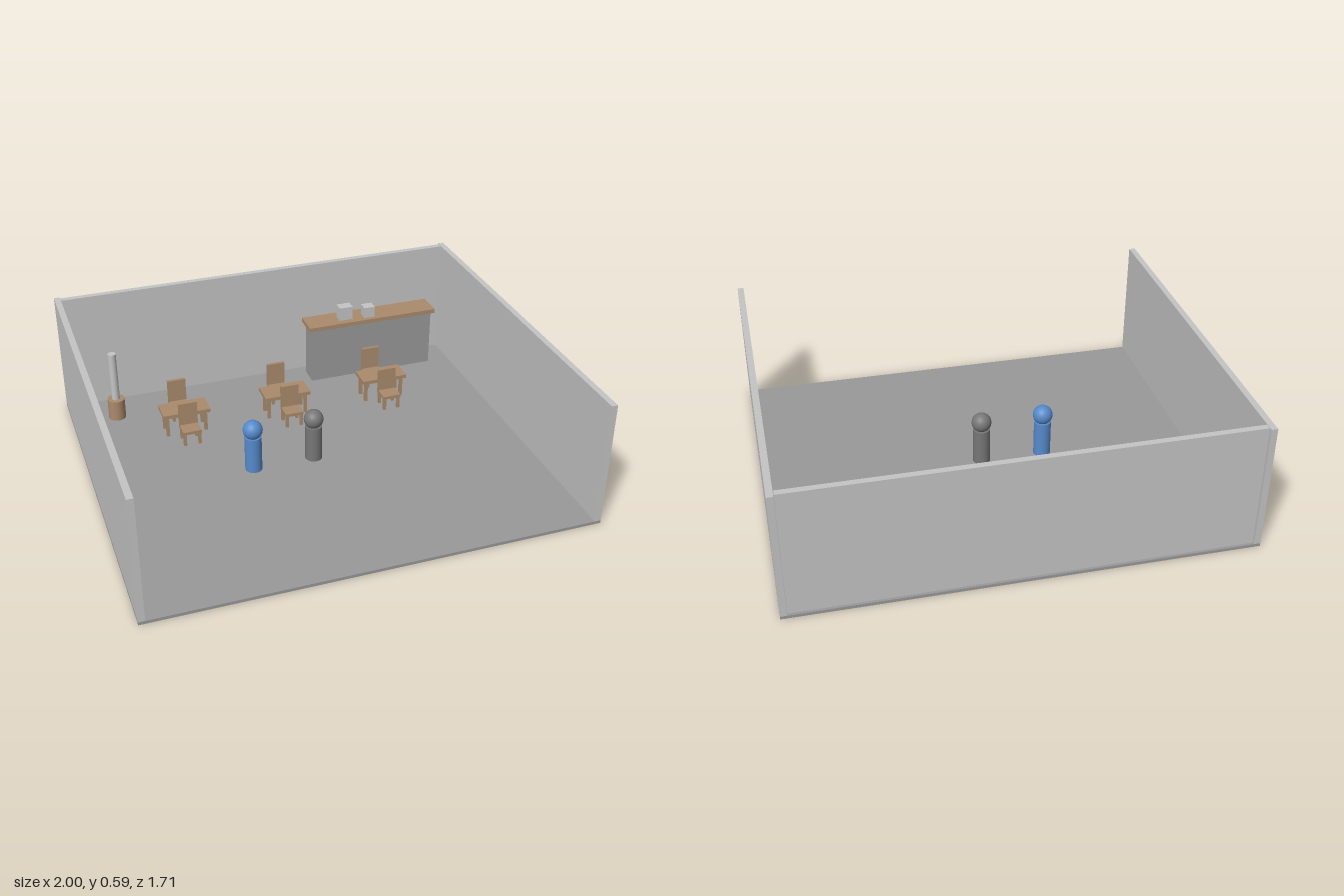
import * as THREE from 'three';

const mat = (name, color) => {
  const m = new THREE.MeshStandardMaterial({ color });
  m.name = name;
  return m;
};

export function createModel() {
  const root = new THREE.Group();
  root.name = 'cafeRoom';
  const wall = mat('lightGrey', 0xc4c4c4);
  const stone = mat('midGrey', 0x999999);
  const wood = mat('wood', 0xaa8a6c);
  const grey = mat('darkGrey', 0x777777);
  const blue = mat('blue', 0x568acb);
  const FLOOR = 0.014;

  const add = (parent, name, geometry, material, x, y, z) => {
    const mesh = new THREE.Mesh(geometry, material);
    mesh.name = name;
    mesh.position.set(x, y, z);
    parent.add(mesh);
    return mesh;
  };
  // Box given by its minimum and maximum corners
  const box = (parent, name, material, [x0, y0, z0], [x1, y1, z1]) =>
    add(parent, name, new THREE.BoxGeometry(x1 - x0, y1 - y0, z1 - z0), material,
      (x0 + x1) / 2, (y0 + y1) / 2, (z0 + z1) / 2);
  // Upright cylinder between two heights
  const post = (parent, name, material, r, y0, y1, x, z) =>
    add(parent, name, new THREE.CylinderGeometry(r, r, y1 - y0, 32), material, x, (y0 + y1) / 2, z);
  const group = (name, x, z) => {
    const g = new THREE.Group();
    g.name = name;
    g.position.set(x, 0, z);
    root.add(g);
    return g;
  };
  // Four square legs, mirrored about the group's centre
  const legs = (parent, name, dx, dz, w, top) => {
    for (const sx of [-1, 1]) for (const sz of [-1, 1])
      add(parent, name, new THREE.BoxGeometry(w, top - FLOOR, w), wood, sx * dx, (top + FLOOR) / 2, sz * dz);
  };

  // Room shell, open at the front
  box(root, 'floor', stone, [-1, 0, -0.857], [1, FLOOR, 0.857]);
  box(root, 'backWall', wall, [-0.97, FLOOR, -0.845], [0.97, 0.587, -0.817]);
  box(root, 'rightWall', wall, [-1, FLOOR, -0.857], [-0.972, 0.587, 0.857]);
  box(root, 'leftWall', wall, [0.972, FLOOR, -0.857], [1, 0.587, 0.857]);

  // Counter with two small appliances
  box(root, 'counterBase', stone, [0.22, FLOOR, -0.765], [0.862, 0.3, -0.665]);
  box(root, 'counterTop', wood, [0.205, 0.3, -0.78], [0.878, 0.321, -0.652]);
  box(root, 'largeAppliance', wall, [0.366, 0.332, -0.715], [0.434, 0.4, -0.665]);
  box(root, 'smallAppliance', wall, [0.498, 0.326, -0.715], [0.553, 0.381, -0.665]);

  // Barrel with a tall pipe
  post(root, 'barrel', wood, 0.041, FLOOR, 0.116, -0.786, -0.645);
  post(root, 'pipe', wall, 0.019, 0.116, 0.36, -0.786, -0.645);

  // Tables, each with a chair behind and in front, all facing forward
  for (const x of [-0.5, 0, 0.5]) {
    const table = group('table', x, -0.431);
    box(table, 'tableTop', wood, [-0.113, 0.116, -0.056], [0.113, 0.134, 0.056]);
    legs(table, 'tableLeg', 0.092, 0.036, 0.015, 0.116);
    for (const z of [-0.547, -0.321]) {
      const chair = group('chair', x, z);
      box(chair, 'seat', wood, [-0.044, 0.073, -0.043], [0.044, 0.088, 0.043]);
      box(chair, 'chairBack', wood, [-0.044, 0.088, -0.043], [0.044, 0.2, -0.028]);
      legs(chair, 'chairLeg', 0.035, 0.034, 0.014, 0.073);
    }
  }

  // Two simple figures
  for (const [name, material, x] of [['blueFigure', blue, -0.287], ['greyFigure', grey, 0]]) {
    const figure = group(name, x, 0);
    post(figure, 'body', material, 0.039, FLOOR, 0.186, 0, 0);
    add(figure, 'head', new THREE.SphereGeometry(0.045, 32, 20), material, 0, 0.221, 0);
  }

  return root;
}
